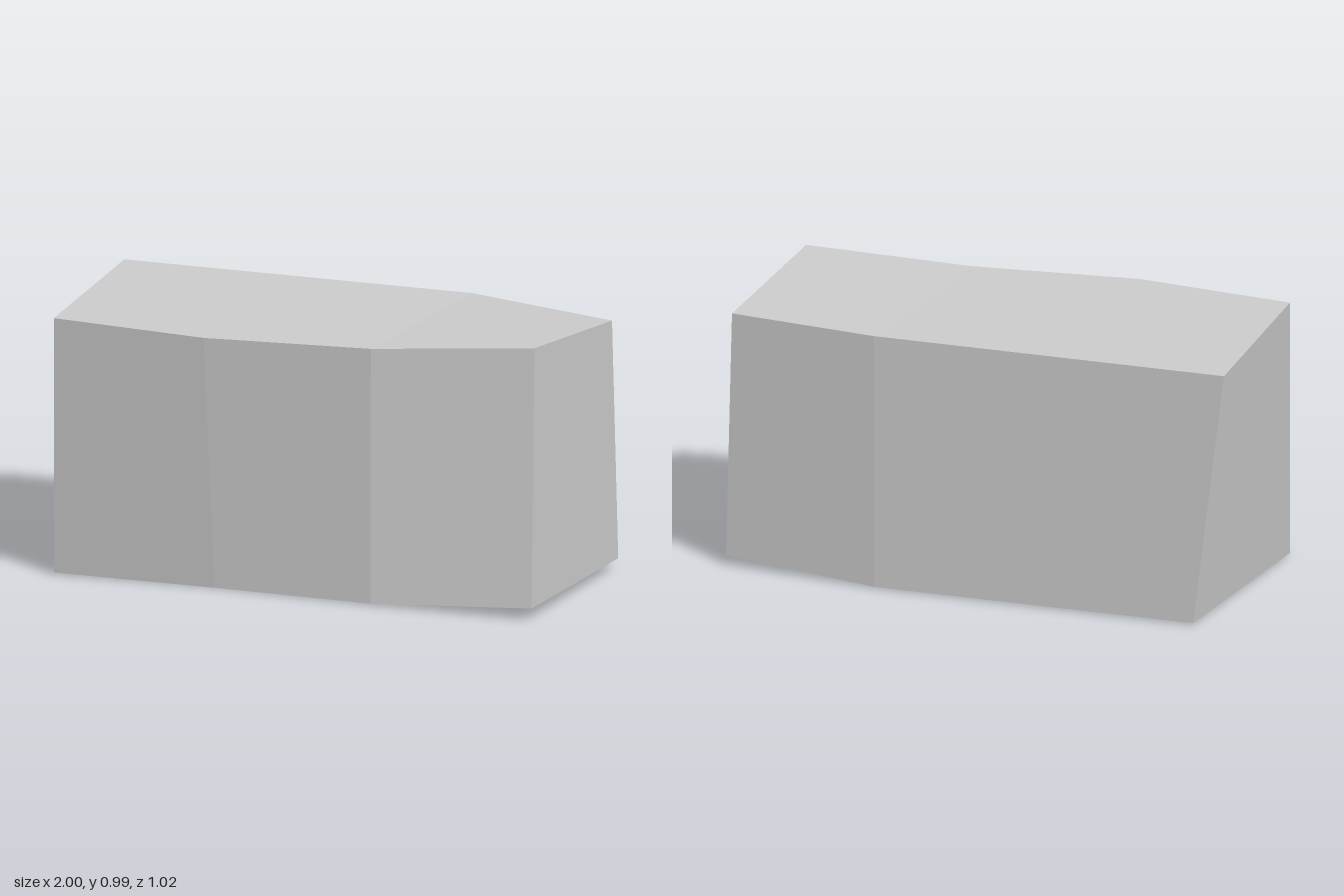
import * as THREE from 'three';

// Cross-sections from -x to +x; corners: top front, top back, bottom back, bottom front
const sections = [
  [[-0.88, 0.953, 0.435], [-1, 0.953, -0.513], [-0.88, 0.006, -0.513], [-0.88, 0.006, 0.435]],
  [[-0.26, 0.953, 0.511], [-0.26, 0.953, -0.513], [-0.26, 0.005, -0.513], [-0.26, 0, 0.407]],
  [[0.365, 0.953, 0.435], [0.365, 0.953, -0.513], [0.365, 0.005, -0.513], [0.365, 0.005, 0.437]],
  [[0.97, 0.991, 0.345], [0.97, 0.935, -0.382], [0.97, 0.037, -0.44], [1, 0.046, 0.443]],
];

// Skins the cross-sections and closes both ends
function loft(rings) {
  const positions = [], normals = [];
  // Each panel folds along its shorter diagonal and is shaded as one facet
  const quad = (...corners) => {
    const [a, b, c, d] = corners.map((p) => new THREE.Vector3(...p));
    const normal = c.clone().sub(a).cross(d.clone().sub(b)).normalize();
    const fold = a.distanceTo(c) < b.distanceTo(d) ? [a, b, c, a, c, d] : [a, b, d, b, c, d];
    for (const p of fold) {
      positions.push(...p);
      normals.push(...normal);
    }
  };
  for (let i = 0; i < rings.length - 1; i++) {
    const a = rings[i], b = rings[i + 1];
    for (let k = 0; k < 4; k++) {
      const n = (k + 1) % 4;
      quad(a[k], b[k], b[n], a[n]);
    }
  }
  quad(...rings[0]);
  quad(...[...rings[rings.length - 1]].reverse());
  const geometry = new THREE.BufferGeometry();
  geometry.setAttribute('position', new THREE.Float32BufferAttribute(positions, 3));
  geometry.setAttribute('normal', new THREE.Float32BufferAttribute(normals, 3));
  return geometry;
}

export function createModel() {
  const group = new THREE.Group();
  group.name = 'block';
  // Faceted block with a bowed front and a tapered end
  const body = new THREE.Mesh(loft(sections), new THREE.MeshStandardMaterial({ color: 0xcccccc }));
  body.name = 'blockBody';
  group.add(body);
  return group;
}
